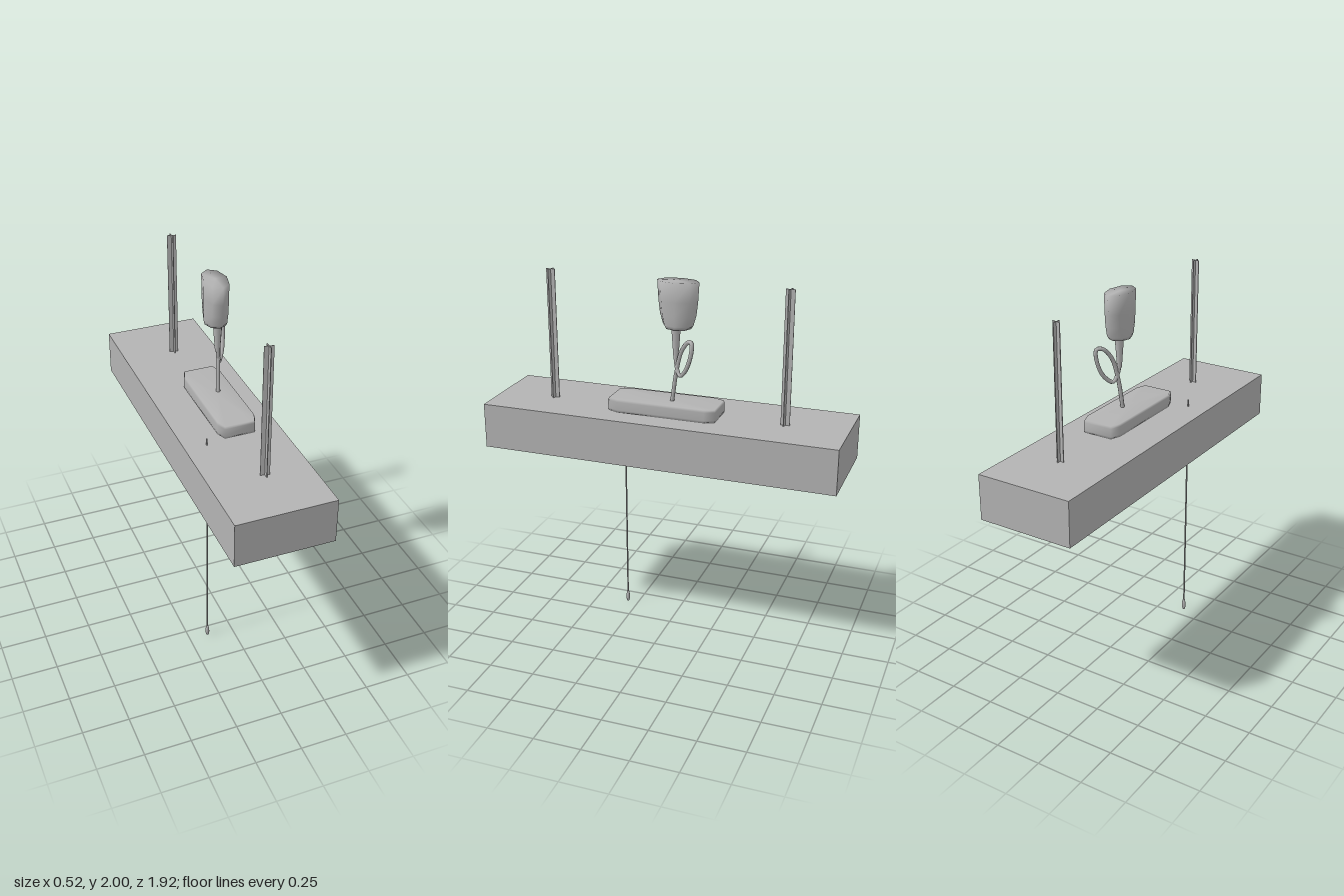
import * as THREE from 'three';

const grey = new THREE.MeshStandardMaterial({ color: 0xb3b3b3, side: THREE.DoubleSide });
grey.name = 'grey metal';

function add(parent, name, geometry, x = 0, y = 0, z = 0) {
  const mesh = new THREE.Mesh(geometry, grey);
  mesh.name = name;
  mesh.position.set(x, y, z);
  parent.add(mesh);
  return mesh;
}

// Closed smooth solid through stacked horizontal outlines: outline [[x, z]...], levels [y, scaleX, scaleZ]
function loft(outline, levels) {
  const n = outline.length, pos = [], idx = [];
  for (const [y, sx, sz] of levels) for (const [x, z] of outline) pos.push(x * sx, y, z * sz);
  for (let i = 0; i < levels.length - 1; i++) {
    for (let j = 0; j < n; j++) {
      const a = i * n + j, b = i * n + (j + 1) % n;
      idx.push(a, a + n, b, b, a + n, b + n);
    }
  }
  const bottom = pos.length / 3, top = bottom + 1, last = (levels.length - 1) * n;
  pos.push(0, levels[0][0], 0, 0, levels[levels.length - 1][0], 0);
  for (let j = 0; j < n; j++) {
    const k = (j + 1) % n;
    idx.push(bottom, j, k, top, last + k, last + j);
  }
  const g = new THREE.BufferGeometry();
  g.setAttribute('position', new THREE.Float32BufferAttribute(pos, 3));
  g.setIndex(idx);
  g.computeVertexNormals();
  return g;
}

export function createModel() {
  const model = new THREE.Group();
  model.name = 'hanging strip light';

  // Housing: thin box without its bottom face
  const shell = new THREE.BoxGeometry(0.525, 0.243, 1.925);
  const index = Array.from(shell.index.array);
  index.splice(18, 6);
  shell.setIndex(index);
  shell.clearGroups();
  add(model, 'housing', shell, 0, 1.172, 0);

  // Fluorescent tube with narrower end caps and contact pins
  const lamp = new THREE.Group();
  lamp.name = 'lamp';
  lamp.position.set(0.02, 1.22, 0);
  model.add(lamp);
  add(lamp, 'tube', new THREE.CylinderGeometry(0.035, 0.035, 1.78, 16).rotateX(Math.PI / 2));
  for (const s of [-1, 1]) {
    add(lamp, 'endCap', new THREE.CylinderGeometry(0.029, 0.029, 0.05, 16).rotateX(Math.PI / 2), 0, 0, s * 0.91);
    for (const x of [-0.012, 0.012])
      add(lamp, 'pin', new THREE.CylinderGeometry(0.004, 0.004, 0.03, 6).rotateX(Math.PI / 2), x, 0, s * 0.945);
  }

  // Cross-section hangers
  for (const z of [-0.633, 0.652]) {
    const hanger = new THREE.Group();
    hanger.name = 'hanger';
    hanger.position.set(0.022, 1.647, z);
    model.add(hanger);
    add(hanger, 'hangerPlate', new THREE.BoxGeometry(0.048, 0.706, 0.004)).rotation.y = -0.2;
    add(hanger, 'hangerPlate', new THREE.BoxGeometry(0.004, 0.706, 0.048));
  }

  // Ballast cover with clipped corners
  const cover = [[0.103, -0.24], [0.103, 0.24], [0.082, 0.295], [-0.082, 0.295],
    [-0.103, 0.24], [-0.103, -0.24], [-0.082, -0.295], [0.082, -0.295]];
  add(model, 'ballastCover', loft(cover, [[1.294, 0.98, 0.99], [1.308, 1, 1], [1.352, 1, 1], [1.365, 0.97, 0.985]]), 0.039, 0, 0.005);

  // Power plug: eight-sided oval, tapering downwards
  const oval = [];
  for (let i = 0; i < 8; i++) {
    const a = i * Math.PI / 4;
    oval.push([Math.cos(a), Math.sin(a)]);
  }
  add(model, 'plug', loft(oval, [[1.757, 0.056, 0.07], [1.775, 0.061, 0.082], [1.83, 0.062, 0.098],
    [1.9, 0.062, 0.106], [2, 0.062, 0.112]]), 0.046, 0, -0.062);

  // Tapered strain relief under the plug
  const relief = new THREE.CylinderGeometry(0.025, 0.013, 0.17, 10);
  add(model, 'strainRelief', relief, 0.057, 1.677, -0.055);

  // Looped power cord
  const cordPath = new THREE.CatmullRomCurve3([
    [0.057, 1.62, -0.055], [0.063, 1.56, -0.06], [0.078, 1.515, -0.082], [0.11, 1.555, -0.125],
    [0.128, 1.65, -0.16], [0.125, 1.705, -0.162], [0.104, 1.705, -0.138], [0.078, 1.645, -0.092],
    [0.062, 1.52, -0.058], [0.056, 1.43, -0.043], [0.053, 1.355, -0.032],
  ].map(p => new THREE.Vector3(...p)));
  add(model, 'powerCord', new THREE.TubeGeometry(cordPath, 60, 0.011, 8));

  // Pull cord with a small bead at the end
  const pull = new THREE.Group();
  pull.name = 'pullSwitch';
  pull.position.set(-0.145, 0, 0.313);
  model.add(pull);
  add(pull, 'pullCord', new THREE.CylinderGeometry(0.0045, 0.0045, 1.275, 8), 0, 0.6925, 0);
  const bead = [[0, 0], [0.007, 0.002], [0.011, 0.02], [0.01, 0.045], [0.006, 0.064], [0, 0.067]];
  add(pull, 'pullBead', new THREE.LatheGeometry(bead.map(p => new THREE.Vector2(...p)), 10));

  return model;
}
